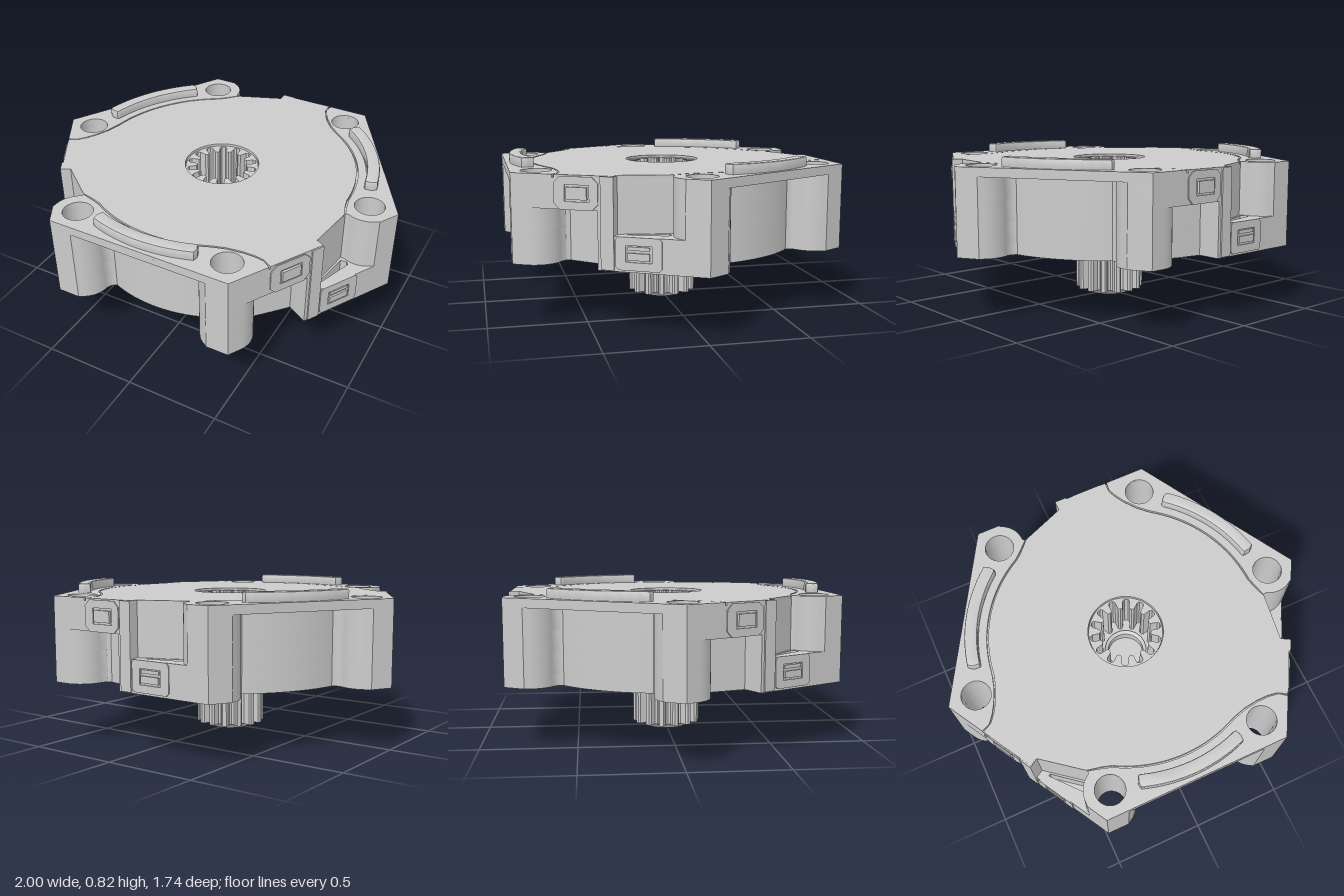
import * as THREE from 'three';
import { toCreasedNormals } from 'three/addons/utils/BufferGeometryUtils.js';

const rad = THREE.MathUtils.degToRad;
const APOTHEM = 0.866;
const material = new THREE.MeshStandardMaterial({ color: 0xcccccc, side: THREE.DoubleSide });

// Point on a side of the hexagon: a = side direction, u = along the side, d = outward. Returns [x, z].
const onSide = (a, [u, d]) => {
  const s = Math.sin(rad(a)), c = Math.cos(rad(a));
  return [d * s + u * c, d * c - u * s];
};
const arc = (cx, cy, r, a0, a1, n = 10) => Array.from({ length: n + 1 }, (_, i) => {
  const t = rad(a0 + (a1 - a0) * i / n);
  return [cx + r * Math.cos(t), cy + r * Math.sin(t)];
});
const toVec = ([x, z]) => new THREE.Vector2(x, -z);
const circle = (x, z, r, n = 40) => arc(x, z, r, 0, 360 - 360 / n, n - 1);
const mirror = pts => pts.map(([u, d]) => [-u, d]).reverse();

// Vertical prism between two heights
function prism(name, outline, holes, y0, y1, bevel = 0) {
  const shape = new THREE.Shape(outline.map(toVec));
  shape.holes = holes.map(h => new THREE.Path(h.map(toVec)));
  const geo = new THREE.ExtrudeGeometry(shape, {
    depth: y1 - y0 - bevel, bevelEnabled: bevel > 0, bevelSize: bevel,
    bevelThickness: bevel, bevelOffset: -bevel, bevelSegments: 2,
  });
  geo.rotateX(-Math.PI / 2).translate(0, y0, 0);
  const mesh = new THREE.Mesh(toCreasedNormals(geo, 0.55), material);
  mesh.name = name;
  return mesh;
}

// Side cut-outs in (u, d): hollow between two bolt bosses, and the two clip pockets
const hollowHalf = [[-0.38, APOTHEM], ...arc(-0.425, 0.735, 0.135, 65, 0), [-0.28, 0.712], [-0.265, 0.7]];
const hollow = [...hollowHalf, ...arc(0, 0, 0.74, 110, 70, 16), ...mirror(hollowHalf)];
const lowerPocket = [...arc(-0.425, 0.735, 0.131, 90, 0), [-0.28, 0.71], [-0.26, 0.7],
  [-0.15, 0.725], [-0.05, 0.745], [-0.05, APOTHEM]];
const bossCurve = [...arc(0.425, 0.735, 0.135, 180, 115), [0.38, APOTHEM]];
const upperPocket = [[0.03, APOTHEM], [0.03, 0.82], [0.28, 0.72], ...bossCurve];

function bodyOutline({ sides, upper, lower }) {
  const pts = [];
  for (let a = 0; a < 360; a += 120) {
    const ridgeSide = [[-0.5, APOTHEM], ...(sides ? hollow : [])];
    const clipSide = [[-0.5, APOTHEM], ...(lower ? lowerPocket : []), ...(upper ? upperPocket : [])];
    pts.push(...ridgeSide.map(p => onSide(a, p)), ...clipSide.map(p => onSide(a + 60, p)));
  }
  return pts;
}

// Toothed outline shared by the pinion and its socket
function gearOutline(teeth = 14) {
  const profile = [[-0.5, 0.133], [-0.3, 0.14], [-0.23, 0.178], [-0.12, 0.188],
    [0.12, 0.188], [0.23, 0.178], [0.3, 0.14]];
  const pts = [];
  for (let i = 0; i < teeth; i++) for (const [f, r] of profile) {
    const t = (i + f) / teeth * Math.PI * 2;
    pts.push([r * Math.sin(t), r * Math.cos(t)]);
  }
  return pts;
}

function lathe(name, profile) {
  const geo = new THREE.LatheGeometry(profile.map(p => new THREE.Vector2(...p)), 48);
  const mesh = new THREE.Mesh(toCreasedNormals(geo.toNonIndexed(), 0.5), material);
  mesh.name = name;
  return mesh;
}

// Clip unit for one side, built facing +z
function clipSet() {
  const g = new THREE.Group();
  const box = (name, u0, u1, y0, y1, d0, d1) => {
    const m = new THREE.Mesh(new THREE.BoxGeometry(u1 - u0, y1 - y0, d1 - d0), material);
    m.position.set((u0 + u1) / 2, (y0 + y1) / 2, (d0 + d1) / 2);
    m.name = name;
    g.add(m);
  };
  const plate = (name, u0, u1, y0, y1, c, win) => {
    const s = new THREE.Shape([[u0 + c, y0], [u1 - c, y0], [u1, y0 + c], [u1, y1 - c], [u1 - c, y1],
      [u0 + c, y1], [u0, y1 - c], [u0, y0 + c]].map(p => new THREE.Vector2(...p)));
    const [a, b, e, f] = win;
    s.holes.push(new THREE.Path([[a, e], [b, e], [b, f], [a, f]].map(p => new THREE.Vector2(...p))));
    const m = new THREE.Mesh(new THREE.ExtrudeGeometry(s, { depth: 0.022, bevelEnabled: false }), material);
    m.position.z = 0.85;
    m.name = name;
    g.add(m);
  };
  box('clipDivider', -0.033, 0.033, 0.325, 0.77, 0.74, 0.874);
  plate('upperClipPlate', -0.27, -0.045, 0.605, 0.765, 0.03, [-0.215, -0.09, 0.645, 0.725]);
  box('upperClipCatch', -0.205, -0.1, 0.655, 0.715, 0.84, 0.878);
  plate('lowerClipPlate', 0.04, 0.27, 0.33, 0.49, 0.015, [0.09, 0.22, 0.37, 0.45]);
  box('lowerClipCatch', 0.1, 0.21, 0.38, 0.415, 0.84, 0.876);
  box('lowerClipLip', 0.1, 0.21, 0.427, 0.445, 0.84, 0.872);
  return g;
}

export function createModel() {
  const root = new THREE.Group();
  root.name = 'gearHousing';
  const bore = circle(0, 0, 0.2, 64);
  const boltHole = a => circle(...onSide(a, [0.425, 0.735]), 0.078);
  const bolts = [0, 60, 120, 180, 240, 300].map(boltHole);
  const slots = [60, 180, 300].map(a =>
    [[0.08, 0.81], [0.08, 0.822], [0.275, 0.785], [0.285, 0.765], [0.265, 0.738]].map(p => onSide(a, p)));

  // Housing in layers, each with its own side cut-outs
  const layers = [
    ['housingBase', 0.32, 0.38, { sides: true, lower: true }, []],
    ['housingLower', 0.38, 0.49, { sides: true, lower: true }, slots],
    ['housingMiddle', 0.49, 0.605, { sides: true, lower: true, upper: true }, []],
    ['housingUpper', 0.605, 0.725, { sides: true, upper: true }, []],
    ['housingFlange', 0.725, 0.757, { upper: true }, []],
  ];
  for (const [name, y0, y1, cuts, extra] of layers)
    root.add(prism(name, bodyOutline(cuts), [bore, ...bolts, ...extra], y0, y1));

  // Top skin: a centre plate and three rim pieces with a fine seam between them
  const seam = [[0.57, 0.645], [0.52, 0.638], [0.46, 0.638], [0.38, 0.648], [0.31, 0.668],
    ...arc(0, 0, 0.735, 70, 120, 18), [-0.42, 0.62]];
  const plate = [];
  for (let a = 0; a > -360; a -= 120) {
    plate.push(...seam.map(([u, d]) => onSide(a, [u * 0.988, d * 0.988])));
    plate.push(...[[0.27, 0.724], [0.03, 0.82], [0.03, APOTHEM], [-0.27, APOTHEM]].map(p => onSide(a - 60, p)));
  }
  root.add(prism('centrePlate', plate, [bore], 0.757, 0.772));
  const rim = [onSide(60, [-0.28, APOTHEM]), [0.5, APOTHEM], [-0.5, APOTHEM],
    ...[...bossCurve].reverse().map(p => onSide(-60, p)), onSide(-60, [0.28, 0.72]), ...[...seam].reverse()];

  // Arched raised ridge with rounded ends
  const ridge = [...arc(0, 0, 0.845, 109.5, 70.5, 24), [0.286, 0.768], [0.272, 0.735],
    ...arc(0, 0, 0.778, 70.5, 109.5, 24), [-0.272, 0.735], [-0.286, 0.768]];

  for (let i = 0; i < 3; i++) {
    const third = new THREE.Group();
    third.name = 'rimThird';
    third.rotation.y = rad(120 * i);
    third.add(prism('rimTop', rim, [boltHole(0), boltHole(-60)], 0.757, 0.772));
    third.add(prism('raisedRidge', ridge, [], 0.765, 0.822, 0.01));
    const clips = clipSet();
    clips.name = 'clipSet';
    clips.rotation.y = rad(60);
    third.add(clips);
    root.add(third);
  }

  // Drive gear: toothed socket open at the top, pinion below
  const gear = gearOutline();
  root.add(prism('gearSocket', circle(0, 0, 0.197, 64), [gear], 0.45, 0.76));
  root.add(lathe('socketFloor', [[0, 0.42], [0.098, 0.42], [0.098, 0.475], [0.115, 0.49], [0.115, 0.47], [0.197, 0.47]]));
  root.add(prism('pinion', gear, [], 0.027, 0.4));
  root.add(lathe('pinionTip', [[0, 0], [0.105, 0], [0.13, 0.028]]));
  root.add(lathe('lowerBoreCover', [[0.12, 0.335], [0.196, 0.335], [0.2, 0.33]]));
  return root;
}
